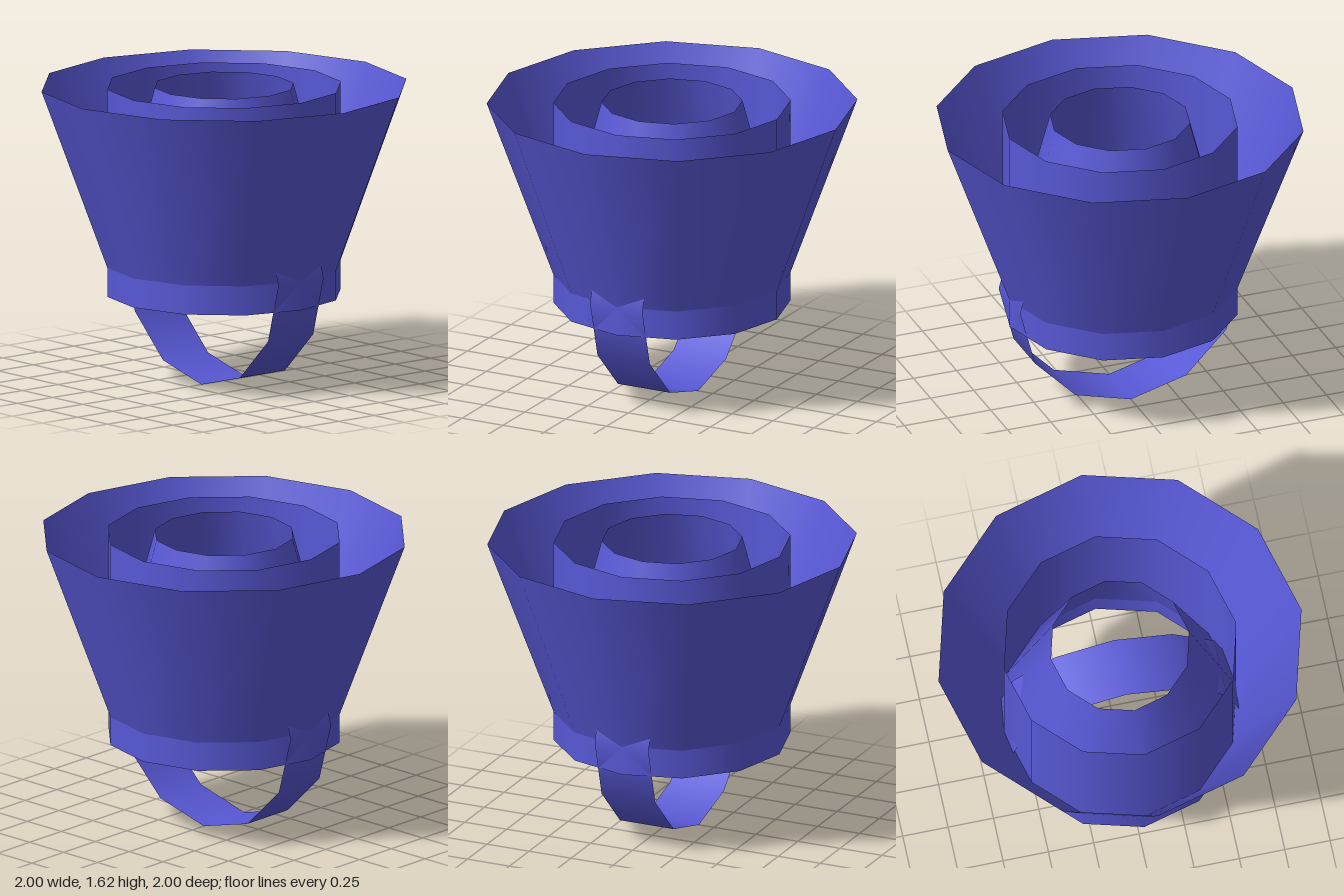
import * as THREE from 'three';

const SIDES = 12;
const TOP = 1.625, JOINT = 0.645, BASE = 0.485;
const R = 0.64;

export function createModel() {
  const group = new THREE.Group();
  const material = new THREE.MeshStandardMaterial({ color: 0x5858d6, side: THREE.DoubleSide });

  // Open, thin-walled tube or cone between two heights
  function shell(name, rTop, rBottom, yTop, yBottom) {
    const geometry = new THREE.CylinderGeometry(rTop, rBottom, yTop - yBottom, SIDES, 1, true);
    const mesh = new THREE.Mesh(geometry, material);
    mesh.position.y = (yTop + yBottom) / 2;
    mesh.name = name;
    group.add(mesh);
    return mesh;
  }

  // Nested walls that share the same rim height
  shell('outerCone', 1, R, TOP, JOINT);
  shell('middleTube', R, R, TOP, BASE);
  shell('innerCone', 0.38, R, TOP, JOINT);

  // Upright ring band, axis front to back, looping below the base
  const band = shell('ringBand', R, R, R + 0.16, R - 0.16);
  band.geometry.rotateX(Math.PI / 2);

  return group;
}
